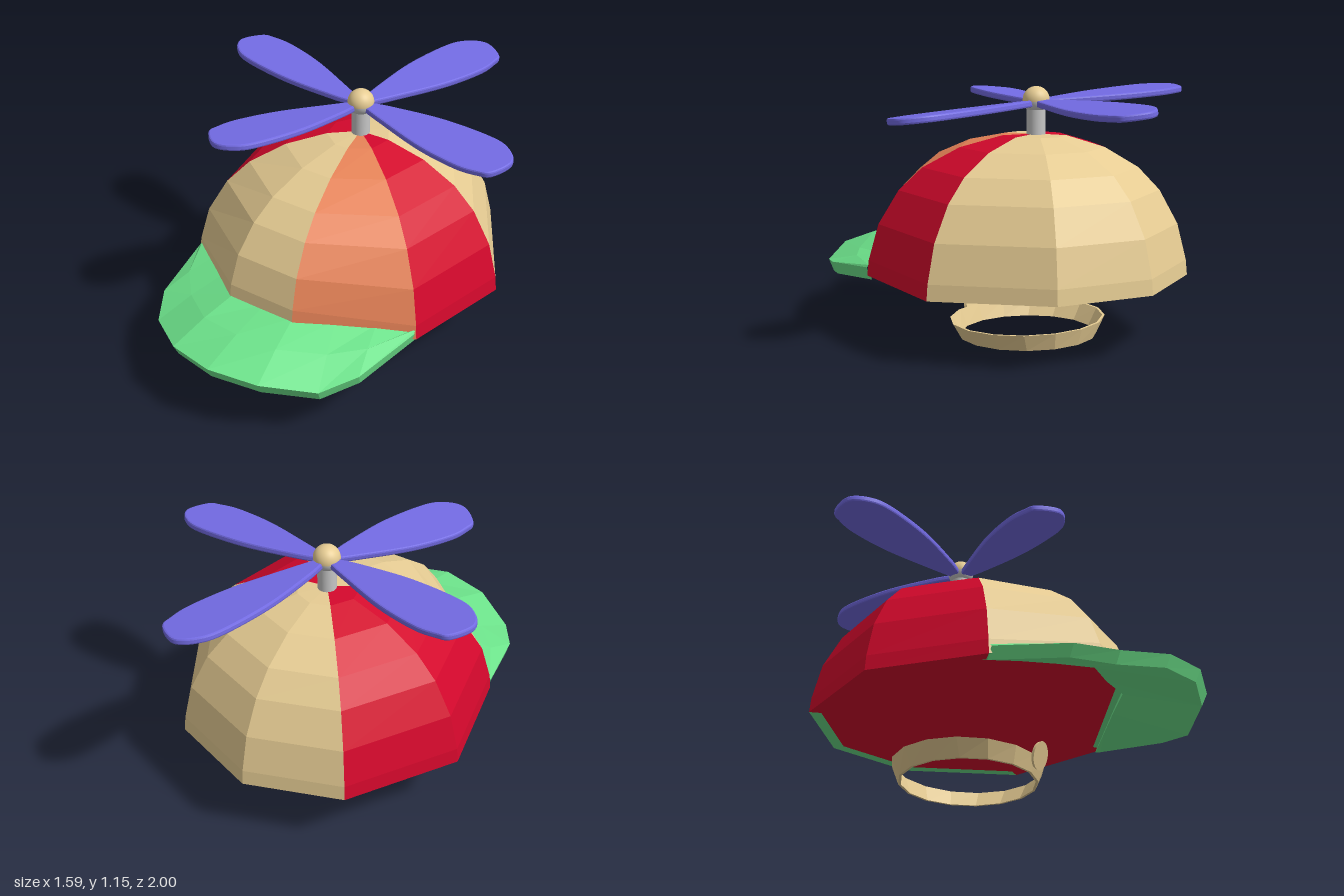
import * as THREE from 'three';

const mat = (name, color) => {
  const m = new THREE.MeshStandardMaterial({ color });
  m.name = name;
  return m;
};

// Skin between neighbouring cross-sections, unshared corners for flat facets
function grid(rows) {
  const pos = [];
  for (let i = 0; i < rows.length - 1; i++) {
    for (let j = 0; j < rows[i].length - 1; j++) {
      const a = rows[i][j], b = rows[i + 1][j], c = rows[i + 1][j + 1], d = rows[i][j + 1];
      pos.push(...a, ...b, ...c, ...a, ...c, ...d);
    }
  }
  const g = new THREE.BufferGeometry();
  g.setAttribute('position', new THREE.Float32BufferAttribute(pos, 3));
  g.computeVertexNormals();
  return g;
}

export function createModel() {
  const hat = new THREE.Group();
  hat.name = 'propellerCap';
  const tan = mat('tan', 0xe6cc93);
  const red = mat('red', 0xd4082c);
  const orange = mat('orange', 0xe88458);
  const green = mat('green', 0x6de38b);
  const blue = mat('blue', 0x736be4);
  const grey = mat('grey', 0xc6c6c6);
  const add = (name, geometry, material, parent = hat) => {
    const m = new THREE.Mesh(geometry, material);
    m.name = name;
    parent.add(m);
    return m;
  };
  const cz = -0.17; // propeller and crown axis

  // Crown: nine panels between seams, each with outer face, rim and shallow lining
  const rim = [
    [-0.17, 0.42, 0.62], [0.17, 0.42, 0.62], [0.61, 0.31, 0.3],
    [0.72, 0.3, -0.23], [0.43, 0.31, -0.71], [0, 0.31, -0.86],
    [-0.43, 0.31, -0.71], [-0.72, 0.3, -0.23], [-0.61, 0.31, 0.3],
  ];
  const colours = [tan, orange, red, tan, tan, tan, red, red, tan];
  // radius fraction, height fraction
  const outer = [[1, 0], [0.99, 0.11], [0.93, 0.37], [0.81, 0.61], [0.67, 0.77], [0.45, 0.91], [0.2, 0.99], [0, 1]];
  const lining = [[0.92, 0], [0.5, 0.7], [0, 1]];
  const seam = ([x, y, z], profile, top) =>
    profile.map(([r, h]) => [x * r, y + h * (top - y), cz + (z - cz) * r]);
  rim.forEach((p, i) => {
    const q = rim[(i + 1) % rim.length];
    const panel = new THREE.Group();
    panel.name = 'crownPanel' + (i + 1);
    hat.add(panel);
    const inA = seam(p, lining, 0.4), inB = seam(q, lining, 0.4);
    add('panelOuter', grid([seam(p, outer, 0.945), seam(q, outer, 0.945)]), colours[i], panel);
    add('panelLining', grid([inB, inA]), red, panel);
    add('panelRim', grid([[inA[0], p], [inB[0], q]]), colours[i] === red ? red : green, panel);
  });

  // Brim: inner point, outer point per station from the middle outwards
  const half = [
    [[0, 0.425, 0.59], [0, 0.34, 1.0]],
    [[0.16, 0.425, 0.6], [0.23, 0.325, 0.95]],
    [[0.31, 0.405, 0.49], [0.44, 0.285, 0.81]],
    [[0.455, 0.38, 0.385], [0.54, 0.31, 0.65]],
    [[0.595, 0.35, 0.28], [0.605, 0.345, 0.31]],
  ];
  const mirrored = half.slice(1).reverse().map((s) => s.map(([x, y, z]) => [-x, y, z]));
  const brimRows = [...mirrored, ...half].map(([a, b]) => [
    a,
    [a[0], a[1] - 0.055, a[2] - 0.02],
    [b[0] * 0.98, b[1] - 0.055, b[2] - 0.025],
    b,
    [(a[0] + b[0]) / 2, (a[1] + b[1]) / 2 + 0.01, (a[2] + b[2]) / 2],
    a,
  ]);
  add('brim', grid(brimRows), green);

  // Chin strap: flared thin band
  const strapRows = [];
  const n = 16;
  for (let i = 0; i <= n; i++) {
    const t = (i / n) * Math.PI * 2;
    const at = (rx, rz, y) => [Math.sin(t) * rx, y, -0.12 + Math.cos(t) * rz];
    strapRows.push([
      at(0.33, 0.315, 0.01), at(0.38, 0.34, 0.088), at(0.368, 0.328, 0.088),
      at(0.318, 0.303, 0.01), at(0.33, 0.315, 0.01),
    ]);
  }
  add('chinStrap', grid(strapRows), tan);
  const button = add('chinButton', new THREE.CylinderGeometry(0.065, 0.06, 0.014, 28), tan);
  button.position.set(0, 0.08, 0.237);
  button.rotation.x = Math.PI / 2 + 0.28;

  // Propeller stem and hub, the hub capped in a second colour
  add('stem', new THREE.CylinderGeometry(0.043, 0.043, 0.15, 24), grey).position.set(0, 0.995, cz);
  const split = Math.PI * 0.53;
  add('hubCap', new THREE.SphereGeometry(0.061, 28, 14, 0, Math.PI * 2, 0, split), tan).position.set(0, 1.098, cz);
  add('hubBase', new THREE.SphereGeometry(0.061, 28, 10, 0, Math.PI * 2, split, Math.PI - split), grey).position.set(0, 1.098, cz);

  // Blades: one blunt paddle outline, repeated at four angles
  const edge = [
    [0.04, -0.025], [0.14, -0.058], [0.39, -0.115], [0.64, -0.13], [0.75, -0.098], [0.808, -0.025],
    [0.778, 0.085], [0.72, 0.114], [0.61, 0.131], [0.4, 0.113], [0.14, 0.052], [0.04, 0.025],
  ].map(([x, y]) => new THREE.Vector2(x, y));
  const outline = new THREE.Shape();
  outline.moveTo(edge[0].x, edge[0].y);
  outline.splineThru(edge.slice(1));
  const bladeGeo = new THREE.ExtrudeGeometry(outline, {
    depth: 0.014, curveSegments: 30, bevelEnabled: true,
    bevelThickness: 0.008, bevelSize: 0.008, bevelOffset: -0.008, bevelSegments: 2,
  });
  bladeGeo.translate(0, 0, -0.007).rotateX(Math.PI / 2);
  // angle in degrees, length factor, rise at tip, pitch
  const blades = [[4.5, 0.98, -0.035, 0.1], [117, 0.92, 0.01, 0.08], [192, 1, 0.04, 0.02], [285, 1.05, 0.012, 0.11]];
  blades.forEach(([deg, len, rise, pitch], i) => {
    const b = add('blade' + (i + 1), bladeGeo, blue);
    b.position.set(0, 1.083, cz);
    b.rotation.order = 'YXZ';
    b.rotation.set(pitch, -THREE.MathUtils.degToRad(deg), Math.atan(rise / 0.8));
    b.scale.x = len;
  });

  return hat;
}
